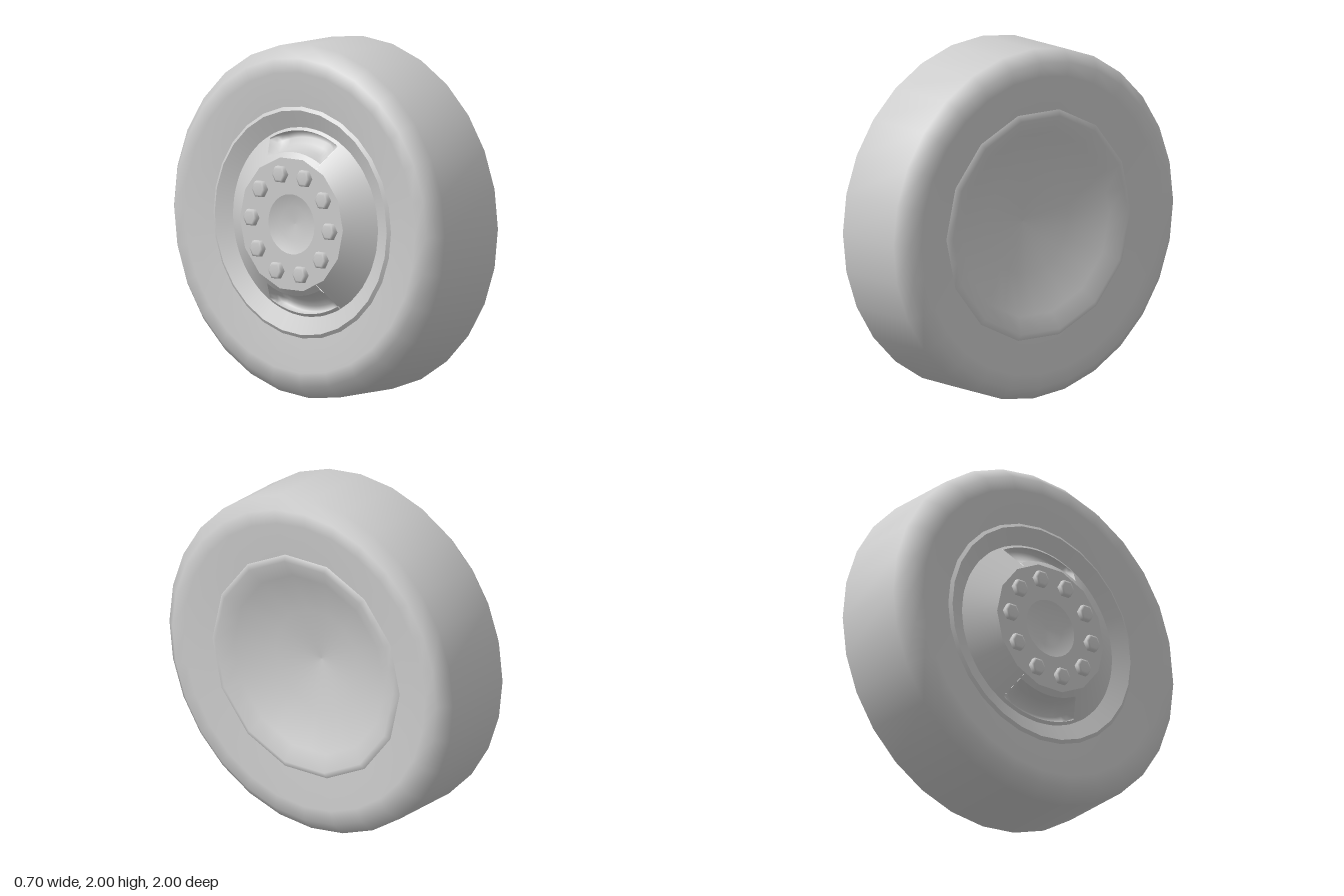
import * as THREE from 'three';

const STEP = Math.PI / 14; // 28 columns around the axle

// Lathe around the x axle; profile points are [radius, x] running from +x to -x outside.
// Radii listed in flats follow a 14-sided outline instead of a circle.
function turned(profile, flats = [], from = 0, span = 28, columns = 28) {
  const pts = profile.map(([r, x]) => new THREE.Vector2(r, -x));
  const geo = new THREE.LatheGeometry(pts, columns, from * STEP, span * STEP);
  const p = geo.attributes.position;
  for (let i = 0; i < p.count; i++) {
    const x = p.getX(i), z = p.getZ(i), r = Math.hypot(x, z);
    if (flats.some((f) => Math.abs(f - r) < 0.001)) {
      const phi = Math.atan2(x, z) + 2 * Math.PI;
      const scale = Math.cos(STEP) / Math.cos((phi % (2 * STEP)) - STEP);
      p.setX(i, x * scale);
      p.setZ(i, z * scale);
    }
  }
  return geo.rotateZ(Math.PI / 2);
}

export function createModel() {
  const group = new THREE.Group();
  const grey = new THREE.MeshStandardMaterial({ color: 0xcccccc });
  grey.name = 'plain grey';
  const add = (name, geo) => {
    const mesh = new THREE.Mesh(geo, grey);
    mesh.name = name;
    group.add(mesh);
    return mesh;
  };

  // Tyre with bevelled shoulders and slightly dipping sidewalls
  add('tyre', turned([[0.66, 0.333], [0.85, 0.35], [0.93, 0.35], [1, 0.285],
    [1, -0.17], [0.93, -0.25], [0.85, -0.254], [0.655, -0.232]], [0.66]));

  // Inner side: a raised rounded lip running smoothly into a shallow dish
  add('innerDish', turned([[0, 0.19], [0.3, 0.225], [0.53, 0.305], [0.625, 0.35], [0.66, 0.333]],
    [0.3, 0.53, 0.625, 0.66]));

  // Outer rim: raised lip and a flange sloping in to the hub
  add('rimLip', turned([[0.635, -0.245], [0.655, -0.232]].reverse()));
  add('rimFlange', turned([[0.635, -0.245], [0.535, -0.204]]));

  // Hub cone, from its base (t = 0) to the front plate (t = 1)
  const cone = (t) => [0.54 - 0.16 * t, -0.2 - 0.125 * t];
  const FLAT = [0.38];
  const HALF = 2.25; // half width of a hand hole, in steps
  for (const top of [7, 21]) {
    add('hubCone', turned([cone(0), cone(1)], FLAT, top + HALF, 14 - 2 * HALF, 38));
    add('hubConeLower', turned([cone(0), cone(0.14)], FLAT, top - HALF, 2 * HALF, 18));
    add('hubConeUpper', turned([cone(0.84), cone(1)], FLAT, top - HALF, 2 * HALF, 18));

    // Hand hole: the cone patch sunk inwards, with rounded ends
    const rows = [0.14, 0.2, 0.4, 0.6, 0.78, 0.84];
    const sink = [0, 0.75, 1, 1, 0.8, 0];
    const cols = 18;
    const hole = turned(rows.map(cone), [], top - HALF, 2 * HALF, cols);
    const p = hole.attributes.position;
    for (let i = 0; i < p.count; i++) {
      const col = Math.floor(i / rows.length);
      const end = Math.min(1, Math.min(col, cols - col) / 3);
      p.setX(i, p.getX(i) + 0.075 * sink[i % rows.length] * Math.sqrt(end));
    }
    hole.computeVertexNormals();
    add('handHole', hole);
  }

  // Front plate with a shallow centre dimple
  add('hubPlate', turned([[0.38, -0.325], [0.17, -0.325]], FLAT));
  add('hubDimple', turned([[0.17, -0.325], [0.1, -0.3], [0, -0.293]]));

  // Ten six-sided wheel nuts with softly rounded heads
  const nutProfile = [[0.052, 0], [0.05, 0.024], [0.036, 0.03], [0, 0.03]];
  const nut = new THREE.LatheGeometry(nutProfile.map(([r, h]) => new THREE.Vector2(r, h)), 6)
    .rotateZ(Math.PI / 2);
  for (let i = 0; i < 10; i++) {
    const a = (i * Math.PI) / 5 - 0.05;
    add('wheelNut', nut).position.set(-0.324, 0.288 * Math.sin(a), 0.288 * Math.cos(a));
  }

  // Stand the wheel on the ground
  group.children.forEach((mesh) => { mesh.position.y += 1; });
  return group;
}
